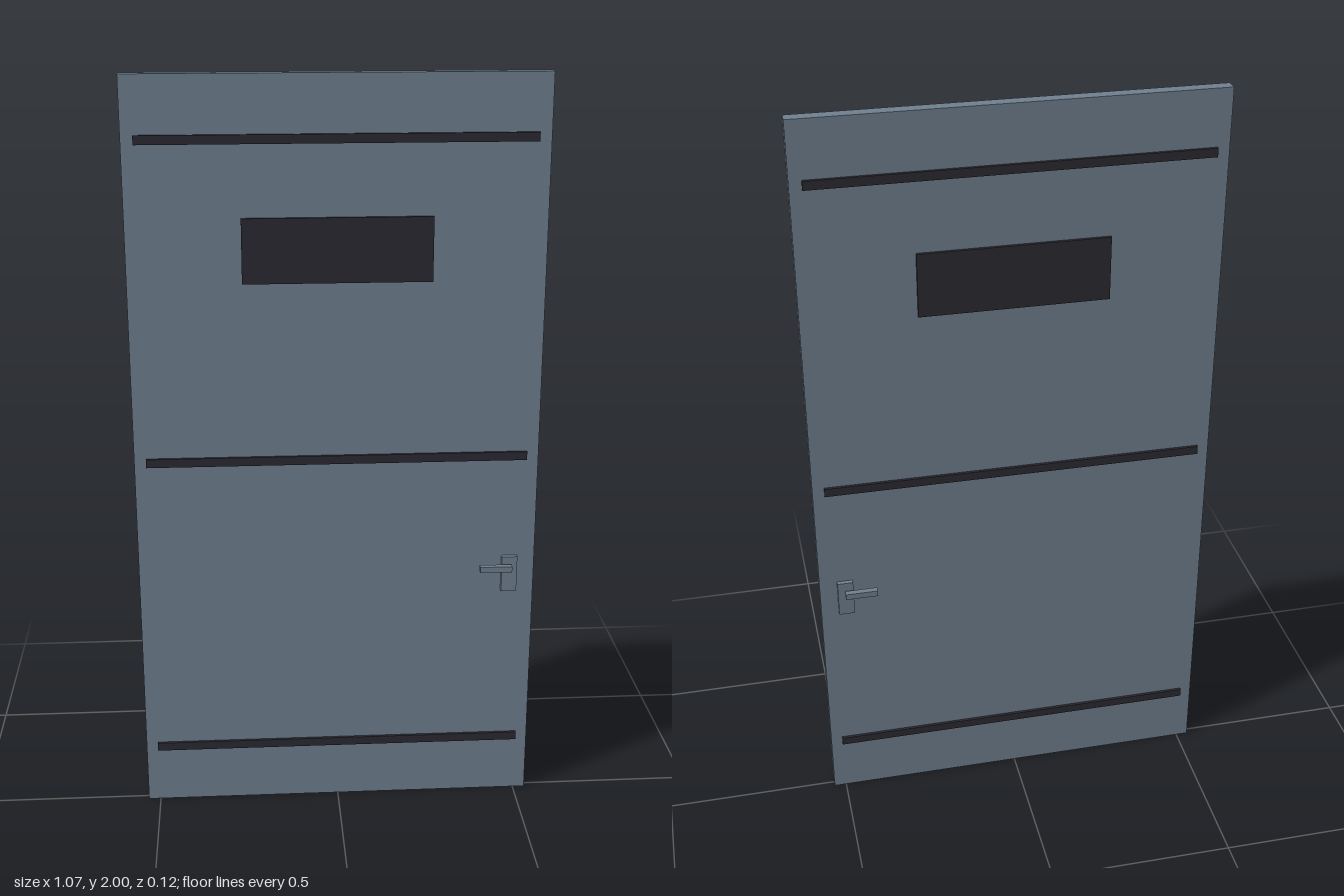
import * as THREE from 'three';

export function createModel() {
  const group = new THREE.Group();
  const steel = new THREE.MeshStandardMaterial({ color: 0x708090 });
  steel.name = 'slate grey steel';
  const dark = new THREE.MeshStandardMaterial({ color: 0x2a2a32 });
  dark.name = 'dark trim';

  const box = (name, material, size, position, parent = group) => {
    const mesh = new THREE.Mesh(new THREE.BoxGeometry(...size), material);
    mesh.name = name;
    mesh.position.set(...position);
    parent.add(mesh);
    return mesh;
  };

  // Door slab
  box('doorPanel', steel, [1.066, 2, 0.033], [0, 1, 0]);

  // Trim strips run through the slab and stand proud on both faces
  [0.168, 1.005, 1.842].forEach((y, i) =>
    box(`trimStrip${i + 1}`, dark, [1.004, 0.023, 0.048], [0, y, 0]));

  // Viewing window, also proud on both faces
  box('window', dark, [0.485, 0.167, 0.048], [0, 1.563, 0]);

  // Backplate and lever on each face
  for (const side of [1, -1]) {
    const handle = new THREE.Group();
    handle.name = side > 0 ? 'frontHandle' : 'backHandle';
    box('backplate', steel, [0.042, 0.1, 0.0125], [0.465, 0.668, side * 0.0227], handle);
    box('lever', steel, [0.086, 0.0165, 0.0165], [0.425, 0.693, side * 0.0495], handle);
    group.add(handle);
  }

  return group;
}
